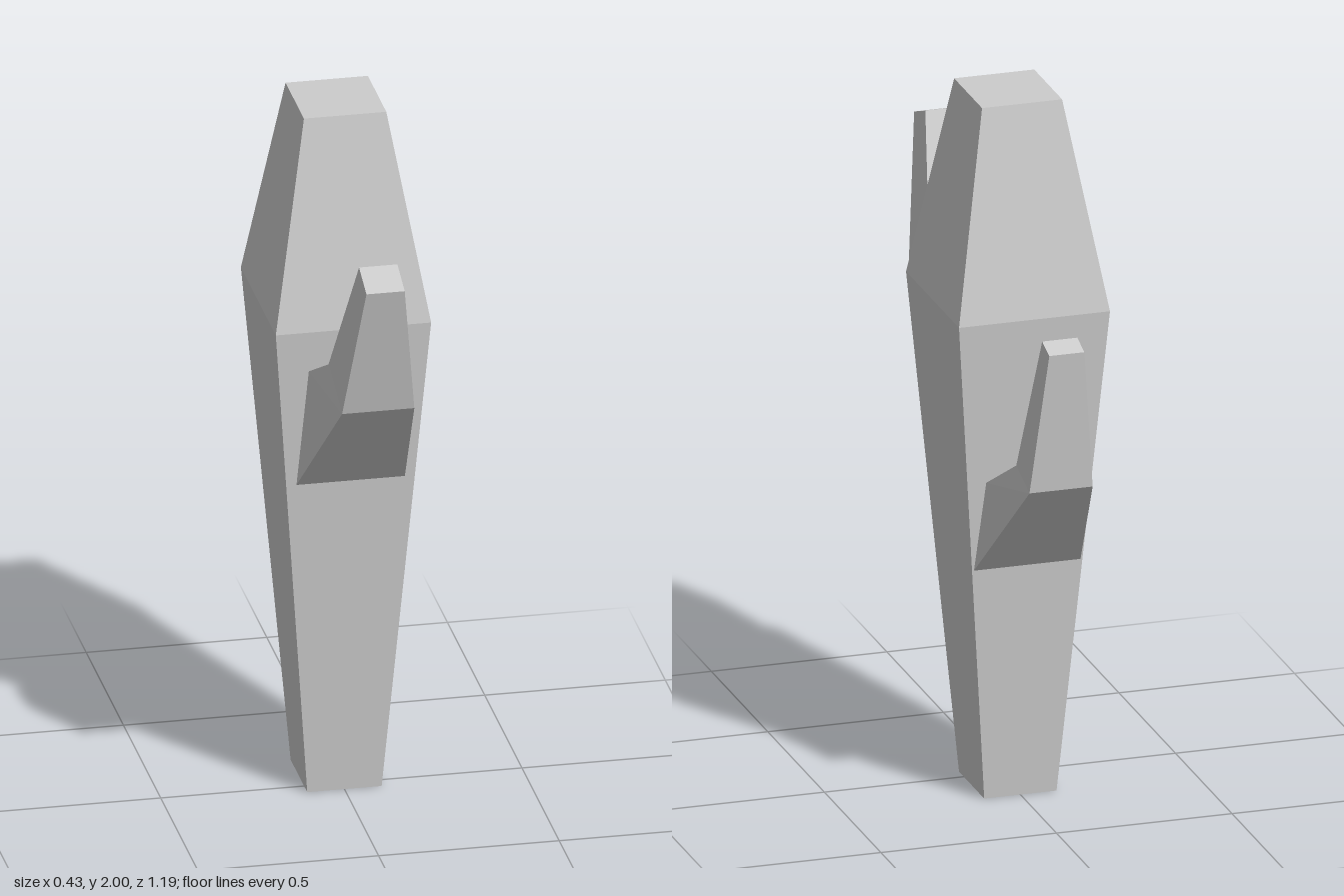
import * as THREE from 'three';

// Each ring is a four-cornered section: [zA, yA, halfWidthA, zB, yB, halfWidthB],
// where A is the outer/lower edge and B the inner/upper edge.
function loft(name, rings) {
  const corners = rings.map(([za, ya, wa, zb, yb, wb]) => [
    [-wa, ya, za], [wa, ya, za], [wb, yb, zb], [-wb, yb, zb],
  ]);
  const pos = [];
  const quad = (a, b, c, d) => pos.push(...a, ...b, ...c, ...a, ...c, ...d);
  for (let r = 0; r < corners.length - 1; r++) {
    for (let i = 0; i < 4; i++) {
      const j = (i + 1) % 4;
      quad(corners[r][i], corners[r][j], corners[r + 1][j], corners[r + 1][i]);
    }
  }
  // end caps
  const first = corners[0], last = corners[corners.length - 1];
  quad(first[3], first[2], first[1], first[0]);
  quad(last[0], last[1], last[2], last[3]);

  const geometry = new THREE.BufferGeometry();
  geometry.setAttribute('position', new THREE.Float32BufferAttribute(pos, 3));
  geometry.computeVertexNormals();
  const material = new THREE.MeshStandardMaterial({ color: 0xcccccc, flatShading: true });
  const mesh = new THREE.Mesh(geometry, material);
  mesh.name = name;
  return mesh;
}

export function createModel() {
  const group = new THREE.Group();
  group.name = 'cactus';

  // Trunk: narrow foot, widest above the middle, tapered flat top
  group.add(loft('trunk', [
    [0.042, 0, 0.103, -0.181, 0, 0.103],
    [0.163, 1.415, 0.215, -0.306, 1.415, 0.215],
    [0.051, 2, 0.114, -0.196, 2, 0.114],
  ]));

  // Front arm: root, elbow, tip
  group.add(loft('frontArm', [
    [0.125, 0.95, 0.15, 0.155, 1.297, 0.122],
    [0.495, 1.315, 0.1, 0.313, 1.384, 0.1],
    [0.594, 1.708, 0.053, 0.495, 1.745, 0.053],
  ]));

  // Back arm: smaller and lower, modelled forwards and turned around
  const backArm = loft('backArm', [
    [0.24, 0.683, 0.152, 0.264, 0.943, 0.124],
    [0.541, 1.005, 0.09, 0.424, 1.045, 0.09],
    [0.592, 1.415, 0.05, 0.529, 1.435, 0.05],
  ]);
  backArm.rotation.y = Math.PI;
  group.add(backArm);

  return group;
}
